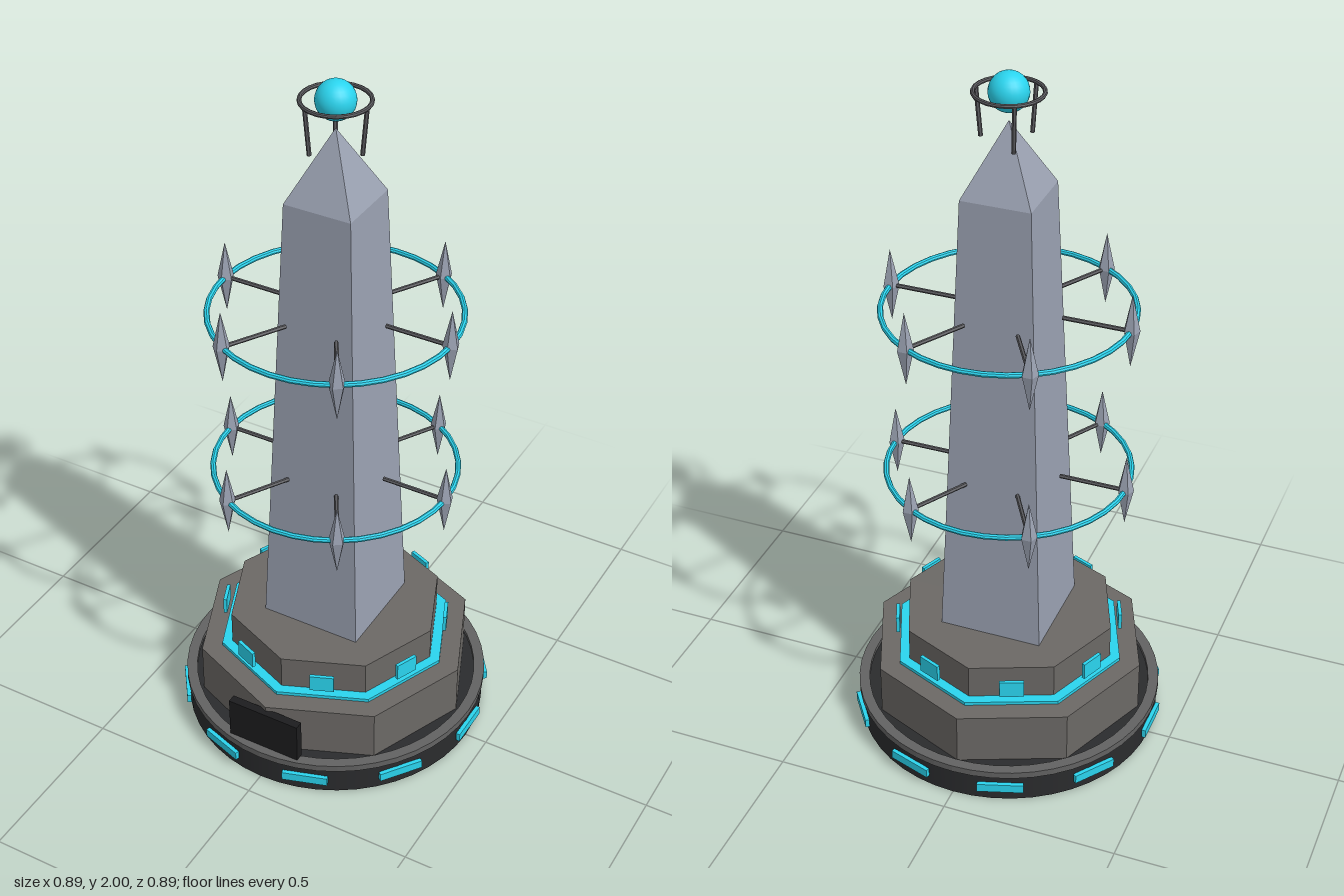
import * as THREE from 'three';

const mat = (color) => new THREE.MeshStandardMaterial({ color, flatShading: true });
const CYAN = mat(0x2ad4ee), DARK = mat(0x2a2b2d), STONE = mat(0x6b6865);
const STEEL = mat(0x9aa1b1), ROD = mat(0x5a5a5e), RIM = mat(0x626262), BLACK = mat(0x1c1c1e);
const GLOW = new THREE.MeshStandardMaterial({ color: 0x2ad4ee });
const DRUM = new THREE.MeshStandardMaterial({ color: 0x2a2b2d });

export function createModel() {
  const model = new THREE.Group();
  const add = (name, geometry, material, parent = model) => {
    const mesh = new THREE.Mesh(geometry, material);
    mesh.name = name;
    parent.add(mesh);
    return mesh;
  };
  // Upright prism or frustum between two heights
  const prism = (name, rBottom, rTop, y0, y1, sides, material, turn = 0) => {
    const g = new THREE.CylinderGeometry(rTop, rBottom, y1 - y0, sides);
    g.rotateY(turn).translate(0, (y0 + y1) / 2, 0);
    return add(name, g, material);
  };
  const rod = (name, a, b, radius, parent) => {
    const dir = b.clone().sub(a);
    const m = add(name, new THREE.CylinderGeometry(radius, radius, dir.length(), 6), ROD, parent);
    m.position.copy(a).lerp(b, 0.5);
    m.quaternion.setFromUnitVectors(new THREE.Vector3(0, 1, 0), dir.normalize());
  };
  const polar = (r, angle, y) => new THREE.Vector3(r * Math.cos(angle), y, r * Math.sin(angle));
  // Small plates facing outward around the axis
  const plates = (name, count, start, radius, y, size) => {
    for (let i = 0; i < count; i++) {
      const a = start + (i * Math.PI * 2) / count;
      const m = add(name, new THREE.BoxGeometry(...size), CYAN);
      m.position.copy(polar(radius, a, y));
      m.rotation.y = -a;
    }
  };
  const hoop = (name, radius, tube, y, segments, material, parent) => {
    const g = new THREE.TorusGeometry(radius, tube, 8, segments).rotateX(Math.PI / 2);
    add(name, g, material, parent).position.y = y;
  };

  // Round base with raised rim and lights
  prism('baseDisc', 0.435, 0.435, 0, 0.088, 48, DRUM);
  const rim = [[0.41, 0.08], [0.44, 0.08], [0.44, 0.1], [0.41, 0.1], [0.41, 0.08]];
  add('baseRim', new THREE.LatheGeometry(rim.map(([x, y]) => new THREE.Vector2(x, y)), 48), RIM);
  plates('baseLight', 10, 0, 0.44, 0.047, [0.012, 0.026, 0.13]);

  // Octagonal plinth in two tiers
  prism('lowerPlinth', 0.4, 0.4, 0.085, 0.24, 8, STONE);
  prism('plinthGlowBand', 0.34, 0.34, 0.238, 0.25, 8, CYAN);
  prism('upperPlinth', 0.31, 0.31, 0.25, 0.35, 8, STONE);
  plates('plinthWindow', 8, Math.PI / 8, 0.32, 0.303, [0.01, 0.05, 0.068]);
  add('frontPlaque', new THREE.BoxGeometry(0.22, 0.125, 0.025), BLACK).position.set(0, 0.163, 0.403);

  // Tapered square obelisk and its pointed cap
  const q = Math.SQRT2;
  prism('obeliskShaft', 0.148 * q, 0.097 * q, 0.35, 1.675, 4, STEEL, Math.PI / 4);
  prism('obeliskCap', 0.097 * q, 0, 1.675, 1.87, 4, STEEL, Math.PI / 4);

  // Two glowing hoops carrying crystals on rods
  for (const y of [0.835, 1.335]) {
    const ring = new THREE.Group();
    ring.name = 'crystalRing';
    ring.position.y = y;
    model.add(ring);
    hoop('glowHoop', 0.338, 0.008, 0, 36, CYAN, ring);
    for (let i = 0; i < 6; i++) {
      const a = (i * Math.PI) / 3;
      rod('crystalRod', polar(0.15, a, 0), polar(0.33, a, 0), 0.006, ring);
      const outline = [[0, -0.106], [0.023, 0], [0, 0.106]].map(([x, h]) => new THREE.Vector2(x, h));
      add('crystal', new THREE.LatheGeometry(outline, 5), STEEL, ring).position.copy(polar(0.338, a, 0));
    }
  }

  // Orb held above the cap by a three-legged hoop
  add('orb', new THREE.SphereGeometry(0.053, 24, 16), GLOW).position.y = 1.947;
  hoop('orbHoop', 0.09, 0.006, 1.947, 24, ROD);
  for (let i = 0; i < 3; i++) {
    const a = (i * Math.PI * 2) / 3;
    rod('orbLeg', polar(0.076, a, 1.815), polar(0.088, a, 1.947), 0.006);
  }
  return model;
}
